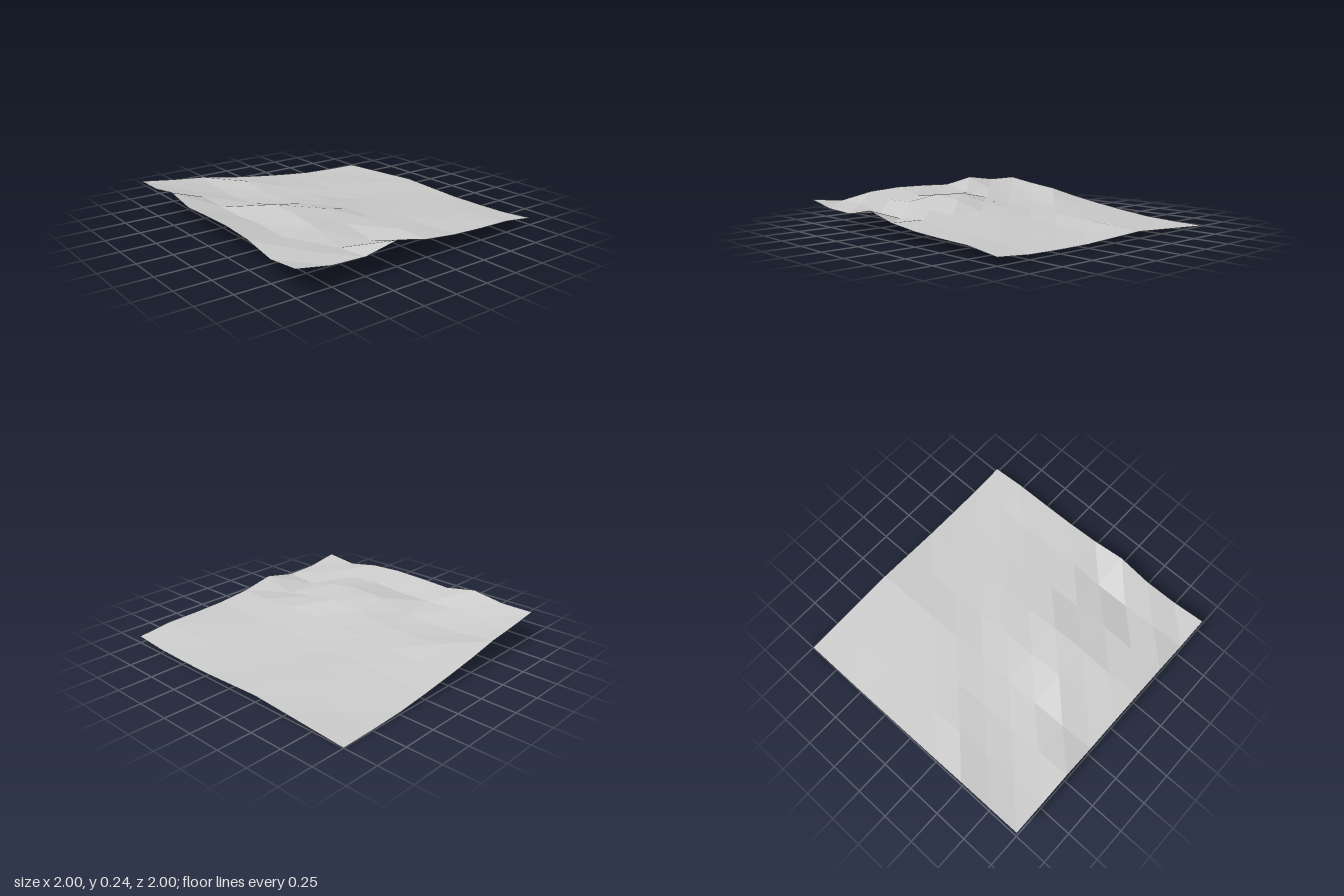
import * as THREE from 'three';

// Terrain heights in hundredths, one row per step in z from back to front
const HEIGHTS = [
  [0.5, 2, 3.5, 5, 4, 3, 3, 3.5, 5.5],
  [1, 2.5, 4.5, 6.5, 4.7, 5, 5.5, 6.5, 8.5],
  [2, 4, 6, 7.5, 6.2, 6.8, 7.5, 8, 9],
  [4.5, 6, 7.5, 8.5, 8.2, 9.2, 9.3, 8.8, 10],
  [7.5, 9, 10, 10, 11.8, 12.3, 12, 12, 12.5],
  [11, 13.5, 11.5, 12, 15, 18, 13.8, 10, 17.8],
  [15.3, 12.5, 11.8, 13.5, 19, 19.8, 16.8, 11, 13],
  [17.8, 15.8, 16.5, 15.7, 15.5, 17.2, 16, 14.8, 13.8],
  [21, 21, 24.5, 20, 21, 21.5, 20, 15.5, 18],
];

export function createModel() {
  const group = new THREE.Group();
  group.name = 'terrain';

  const ground = new THREE.MeshStandardMaterial({
    color: 0xcccccc,
    flatShading: true,
    side: THREE.DoubleSide,
  });
  ground.name = 'ground grey';

  // Square grid laid flat, each vertex lifted to its height
  const n = HEIGHTS.length;
  const grid = new THREE.PlaneGeometry(2, 2, n - 1, n - 1).rotateX(-Math.PI / 2);
  const pos = grid.attributes.position;
  for (let i = 0; i < pos.count; i++) {
    pos.setY(i, (HEIGHTS[Math.floor(i / n)][i % n] - 0.5) / 100);
  }

  // Separate facets for the low-poly look
  const facets = grid.toNonIndexed();
  facets.computeVertexNormals();
  const mesh = new THREE.Mesh(facets, ground);
  mesh.name = 'groundSurface';
  group.add(mesh);
  return group;
}
